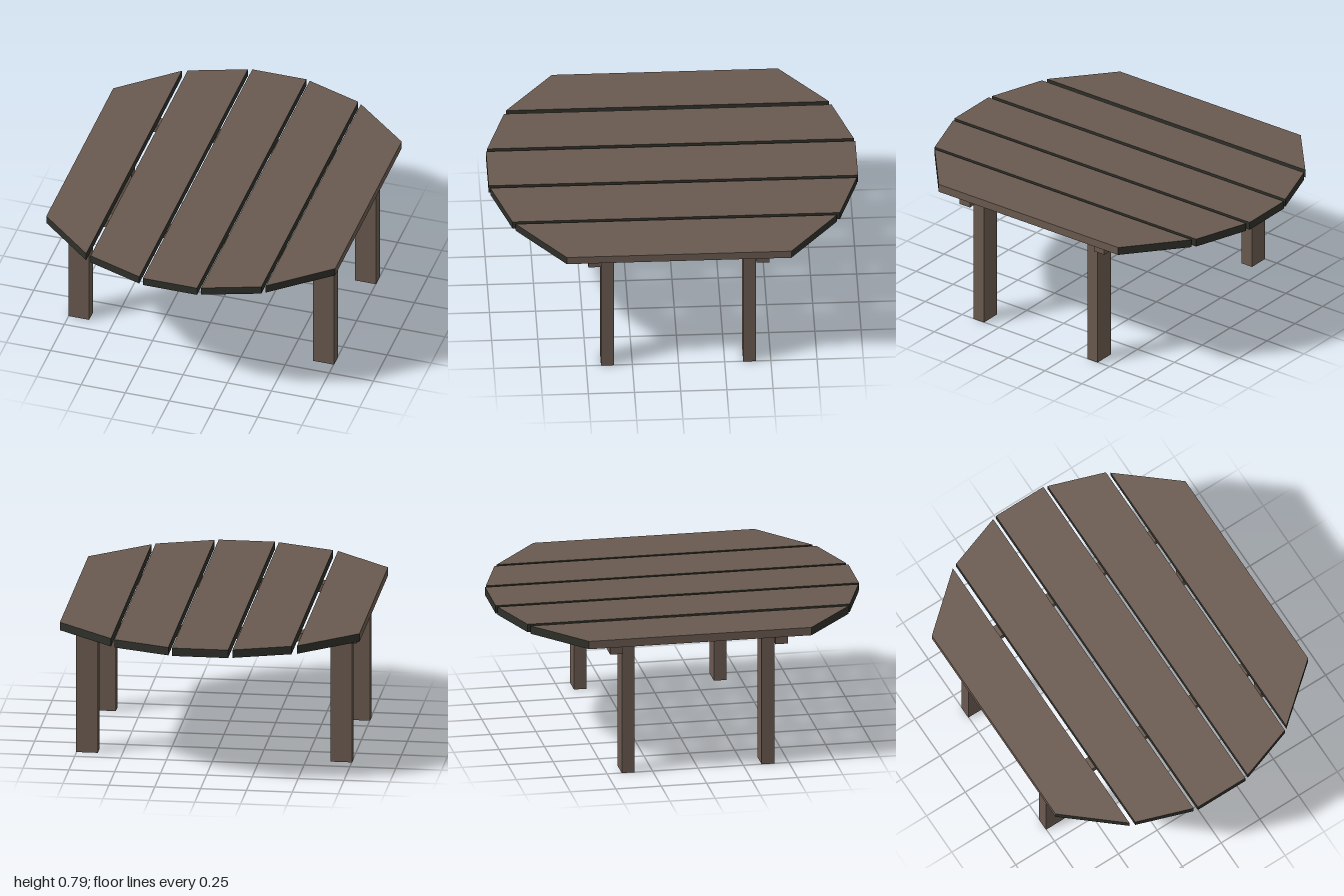
import * as THREE from 'three';

const brown = new THREE.MeshStandardMaterial({ name: 'weathered brown wood', color: 0x6a5a50 });
const dark = new THREE.MeshStandardMaterial({ name: 'dark cut edge', color: 0x2f302a });

// Box given by its min and max on each axis
function box(name, [x0, x1], [y0, y1], [z0, z1]) {
  const mesh = new THREE.Mesh(new THREE.BoxGeometry(x1 - x0, y1 - y0, z1 - z0), brown);
  mesh.position.set((x0 + x1) / 2, (y0 + y1) / 2, (z0 + z1) / 2);
  mesh.name = name;
  return mesh;
}

// Board along z whose ends are cut at an angle: half length zl at x0, zr at x1
function plank(name, x0, x1, zl, zr) {
  const geo = new THREE.BoxGeometry(x1 - x0, 0.045, 2);
  const p = geo.attributes.position;
  for (let i = 0; i < p.count; i++) {
    p.setZ(i, p.getZ(i) * (p.getX(i) < 0 ? zl : zr));
  }
  geo.computeVertexNormals();
  // Cut ends and gap faces are dark, the outermost long sides stay brown
  const right = x1 > 0.8 ? brown : dark;
  const left = x0 < -0.8 ? brown : dark;
  const mesh = new THREE.Mesh(geo, [right, left, brown, brown, dark, dark]);
  mesh.position.set((x0 + x1) / 2, 0.7675, 0);
  mesh.name = name;
  return mesh;
}

export function createModel() {
  const table = new THREE.Group();
  table.name = 'picnicTable';

  // Table top
  const top = new THREE.Group();
  top.name = 'tableTop';
  top.add(
    plank('outerPlankRight', -0.817, -0.51, 0.612, 0.875),
    plank('innerPlankRight', -0.481, -0.173, 0.887, 0.993),
    plank('centrePlank', -0.15, 0.156, 1, 1),
    plank('innerPlankLeft', 0.177, 0.485, 0.992, 0.886),
    plank('outerPlankLeft', 0.505, 0.817, 0.87, 0.608)
  );
  table.add(top);

  for (const s of [-1, 1]) {
    const span = (a, b) => (s > 0 ? [a, b] : [-b, -a]);
    // Cross beams outside the legs, front and back
    table.add(box(s > 0 ? 'frontBeam' : 'backBeam', [-0.786, 0.786], [0.695, 0.742], span(0.42, 0.49)));
    // Side rails joining the beams on the inner side of the legs
    table.add(box(s > 0 ? 'leftRail' : 'rightRail', span(0.565, 0.634), [0.71, 0.743], [-0.42, 0.42]));
    // Legs
    for (const t of [-1, 1]) {
      const z = t > 0 ? [0.35, 0.42] : [-0.42, -0.35];
      table.add(box((t > 0 ? 'front' : 'back') + (s > 0 ? 'LeftLeg' : 'RightLeg'), span(0.634, 0.752), [0, 0.743], z));
    }
  }
  return table;
}
